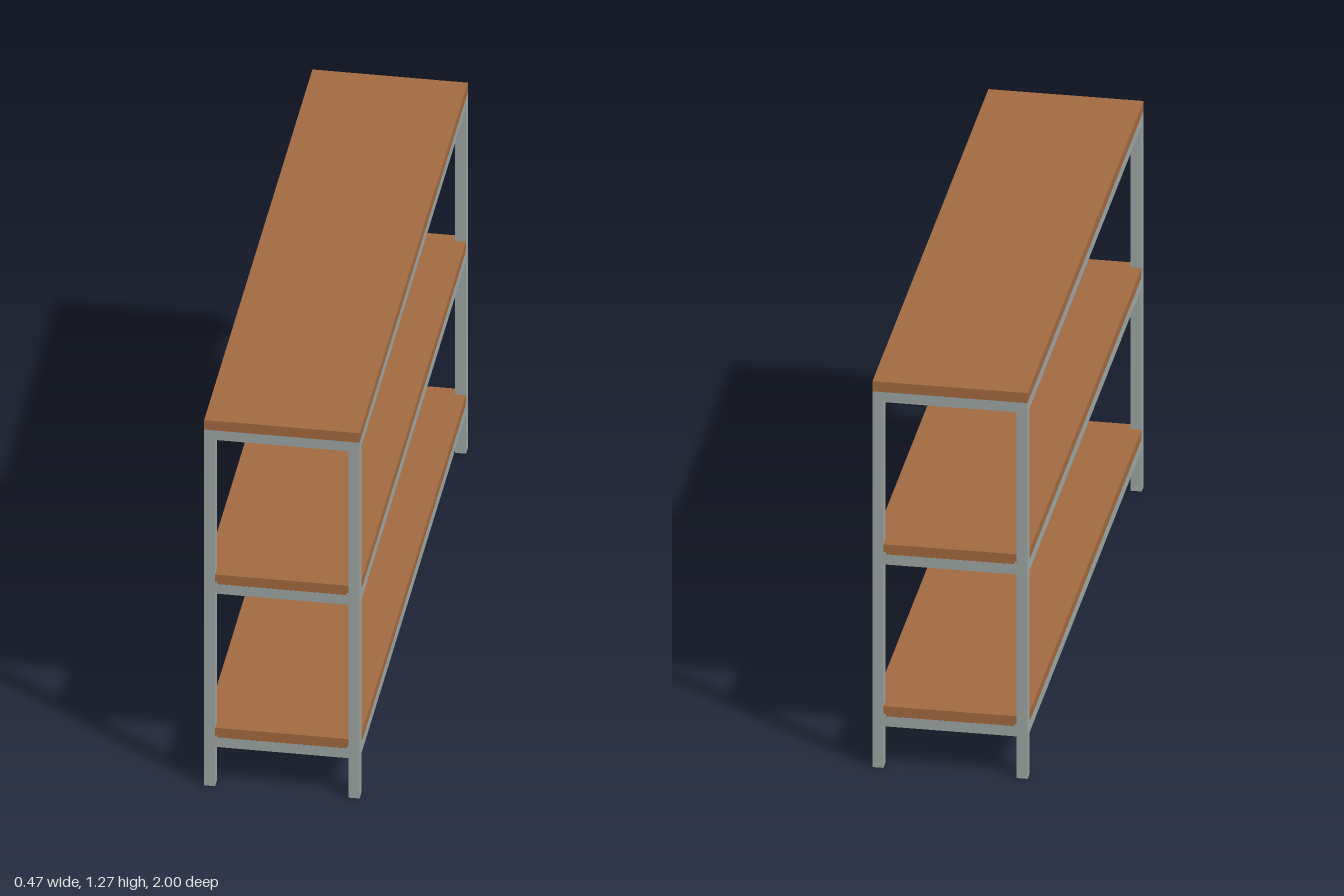
import * as THREE from 'three';

const W = 0.233, D = 1, T = 0.033; // half width, half depth, steel tube size

export function createModel() {
  const steel = new THREE.MeshStandardMaterial({ color: 0xa0a8a5 });
  steel.name = 'grey steel';
  const wood = new THREE.MeshStandardMaterial({ color: 0xa36b41 });
  wood.name = 'brown wood';
  const model = new THREE.Group();
  model.name = 'shelvingUnit';

  const box = (name, parent, material, size, position) => {
    const mesh = new THREE.Mesh(new THREE.BoxGeometry(...size), material);
    mesh.name = name;
    mesh.position.set(...position);
    parent.add(mesh);
  };
  const cx = W - T / 2, cz = D - T / 2;
  const corners = [[1, 1], [1, -1], [-1, 1], [-1, -1]];

  // Four square legs reaching up to the top board
  for (const [sx, sz] of corners) {
    box('leg', model, steel, [T, 1.237, T], [sx * cx, 1.237 / 2, sz * cz]);
  }

  // Lower boards are notched around the legs
  const w = W - 0.0005, d = D - 0.0005, nx = W - T, nz = D - T;
  const outline = [
    [-nx, -d], [nx, -d], [nx, -nz], [w, -nz], [w, nz], [nx, nz],
    [nx, d], [-nx, d], [-nx, nz], [-w, nz], [-w, -nz], [-nx, -nz],
  ].map(([x, z]) => new THREE.Vector2(x, z));
  const notched = new THREE.ExtrudeGeometry(new THREE.Shape(outline), { depth: T, bevelEnabled: false });
  notched.rotateX(-Math.PI / 2);

  // Three levels: steel frame with a board on top
  [0.17, 0.703, 1.237].forEach((y, level) => {
    const shelf = new THREE.Group();
    shelf.name = ['bottomShelf', 'middleShelf', 'topShelf'][level];
    model.add(shelf);
    for (const s of [-1, 1]) {
      box('sideRail', shelf, steel, [T, T, 2 * nz], [s * cx, y - T / 2, 0]);
      box('endRail', shelf, steel, [2 * nx, T, T], [0, y - T / 2, s * cz]);
    }
    if (level === 2) {
      box('topBoard', shelf, wood, [2 * W, T, 2 * D], [0, y + T / 2, 0]);
      return;
    }
    const board = new THREE.Mesh(notched, wood);
    board.name = 'shelfBoard';
    board.position.y = y;
    shelf.add(board);
    // Small weld beads where the frame meets each leg
    const b = 0.007;
    for (const [sx, sz] of corners) {
      box('weld', shelf, steel, [T + b, b, T + b], [sx * (W - (T + b) / 2), y + b / 2, sz * (D - (T + b) / 2)]);
    }
  });

  return model;
}
